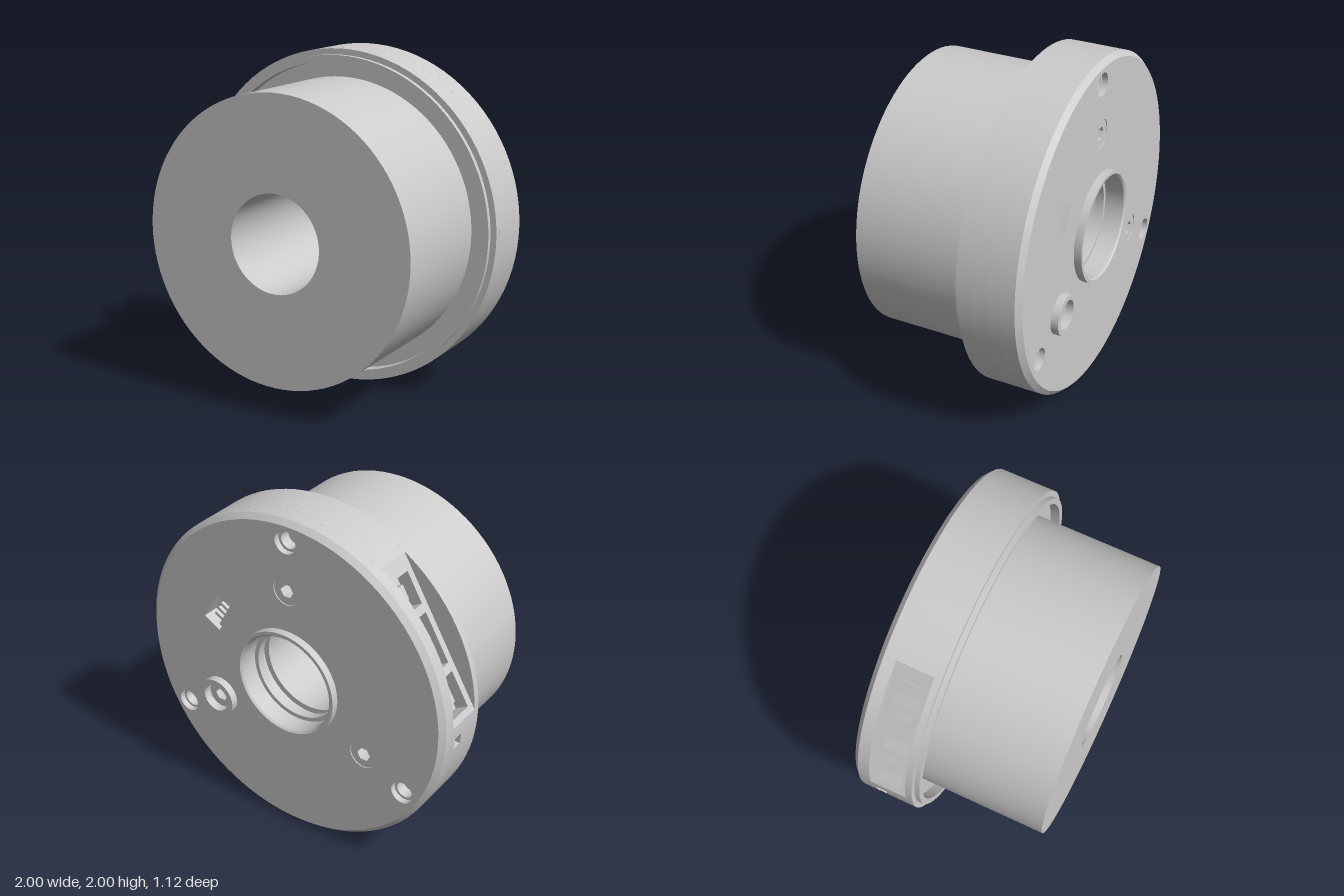
import * as THREE from 'three';
import { toCreasedNormals } from 'three/addons/utils/BufferGeometryUtils.js';

const RAD = Math.PI / 180;
const material = new THREE.MeshStandardMaterial({ color: 0xcccccc });

export function createModel() {
  const model = new THREE.Group();
  const body = new THREE.Group();
  body.name = 'motor';
  body.position.y = 1; // the axis runs along z at this height
  model.add(body);

  const add = (name, geometry, parent = body) => {
    const mesh = new THREE.Mesh(geometry, material);
    mesh.name = name;
    parent.add(mesh);
    return mesh;
  };
  // closed [radius, z] section turned about the z axis
  const turned = (points, segments = 96) => {
    const profile = [...points, points[0]].map(([r, z]) => new THREE.Vector2(r, z));
    return toCreasedNormals(new THREE.LatheGeometry(profile, segments).rotateX(Math.PI / 2), 0.4);
  };
  const slab = (shape, z0, z1, curveSegments = 48) => {
    const g = new THREE.ExtrudeGeometry(shape, { depth: z1 - z0, bevelEnabled: false, curveSegments });
    return toCreasedNormals(g.translate(0, 0, z0), 0.4);
  };
  const polar = (r, deg) => new THREE.Vector2(r * Math.cos(deg * RAD), r * Math.sin(deg * RAD));
  const circle = (r, c = { x: 0, y: 0 }, Type = THREE.Path) => new Type().absarc(c.x, c.y, r, 0, Math.PI * 2);

  // barrel with stepped bore and rear hub
  add('barrel', turned([
    [0.33, -0.565], [0.33, -0.25], [0.835, -0.25], [0.835, 0.56],
    [0.285, 0.56], [0.285, -0.33], [0.32, -0.33], [0.32, -0.39],
    [0.275, -0.39], [0.275, -0.44], [0.3, -0.44], [0.3, -0.555], [0.31, -0.565],
  ]));

  // front of the flange: rim, raised lip and the groove around the barrel
  add('flangeFront', turned([
    [0.33, -0.2], [1, -0.2], [1, -0.16], [0.965, -0.16],
    [0.965, -0.13], [0.93, -0.13], [0.93, -0.19], [0.33, -0.19],
  ]));

  // middle of the flange: layers cut by a flat side pocket, its sockets and a notch
  const pocketAngle = 150, pocketHalf = 28;
  const floorDist = Math.cos(pocketHalf * RAD);
  const sockets = [[0.374, 0.184], [0.134, -0.166], [-0.216, -0.43]];
  const onPocket = (d, t) => polar(d, pocketAngle).add(polar(t, pocketAngle - 90));
  const flangeLayer = (z0, z1, hasSockets, hasNotch) => {
    const s = new THREE.Shape();
    const low = pocketAngle + pocketHalf, high = pocketAngle - pocketHalf + 360;
    s.absarc(0, 0, 1, (hasNotch ? 186.5 : low) * RAD, high * RAD);
    if (hasSockets) {
      for (const [a, b] of sockets) {
        for (const [d, t] of [[floorDist, a], [0.8, a], [0.8, b], [floorDist, b]]) {
          const p = onPocket(d, t);
          s.lineTo(p.x, p.y);
        }
      }
    }
    if (hasNotch) {
      s.absarc(0, 0, 1, low * RAD, 182.5 * RAD);
      for (const a of [182.5, 186.5]) {
        const p = polar(0.9, a);
        s.lineTo(p.x, p.y);
      }
    }
    s.closePath();
    s.holes.push(circle(0.325));
    add('flangeMiddle', slab(s, z0, z1));
  };
  flangeLayer(-0.42, -0.395, false, false);
  flangeLayer(-0.395, -0.33, true, true);
  flangeLayer(-0.33, -0.24, true, false);
  flangeLayer(-0.24, -0.2, false, false);

  // contact block inside each side socket
  for (const [a, b] of sockets) {
    const p = onPocket(0.825, (a + b) / 2);
    const block = add('socketContact', new THREE.BoxGeometry(0.06, (a - b) * 0.45, 0.09));
    block.position.set(p.x, p.y, -0.33);
    block.rotation.z = (pocketAngle - 180) * RAD;
  }

  // chamfered rear rim
  add('rearRim', turned([[0.96, -0.42], [0.96, -0.52], [0.97, -0.52], [1, -0.49], [1, -0.42]]));

  // rear plate with mounting holes, screw seats and a connector window
  const plate = circle(0.97, undefined, THREE.Shape);
  const mounts = [90, 210, 330].map((a) => polar(0.875, a));
  const screws = [90, 210, 330].map((a) => polar(0.58, a));
  plate.holes.push(circle(0.325));
  mounts.forEach((c) => plate.holes.push(circle(0.068, c)));
  screws.forEach((c) => plate.holes.push(circle(0.085, c)));
  const windowCenter = polar(0.56, 30);
  const corners = [[-1, -1], [1, -1], [1, 1], [-1, 1]].map(([u, v]) =>
    windowCenter.clone().add(polar(u * 0.06, 30)).add(polar(v * 0.1, 120)));
  plate.holes.push(new THREE.Path(corners));
  add('rearPlate', slab(plate, -0.52, -0.42));

  // narrower step inside each mounting hole
  for (const c of mounts) {
    const step = circle(0.068, c, THREE.Shape);
    step.holes.push(circle(0.052, c));
    add('mountHoleStep', slab(step, -0.485, -0.42, 16));
  }

  // socket-head screws
  for (const c of screws) {
    const head = circle(0.084, c, THREE.Shape);
    const hex = [0, 1, 2, 3, 4, 5].map((i) => polar(0.042, i * 60).add(c));
    head.holes.push(new THREE.Path(hex));
    add('screwHead', slab(head, -0.515, -0.42, 16));
  }

  // raised collar around one screw
  const collar = circle(0.12, screws[2], THREE.Shape);
  collar.holes.push(circle(0.086, screws[2]));
  add('screwCollar', slab(collar, -0.565, -0.5, 24));

  // connector in the rear window: carrier and a row of pins
  const connector = new THREE.Group();
  connector.name = 'connector';
  connector.position.set(windowCenter.x, windowCenter.y, 0);
  connector.rotation.z = 30 * RAD;
  body.add(connector);
  add('connectorCarrier', new THREE.BoxGeometry(0.03, 0.2, 0.07), connector).position.set(-0.045, 0, -0.455);
  for (let i = 0; i < 4; i++) {
    const pin = add('connectorPin', new THREE.BoxGeometry(0.06, 0.018, 0.02), connector);
    pin.position.set(0, (i - 1.5) * 0.042, -0.47);
  }
  return model;
}
